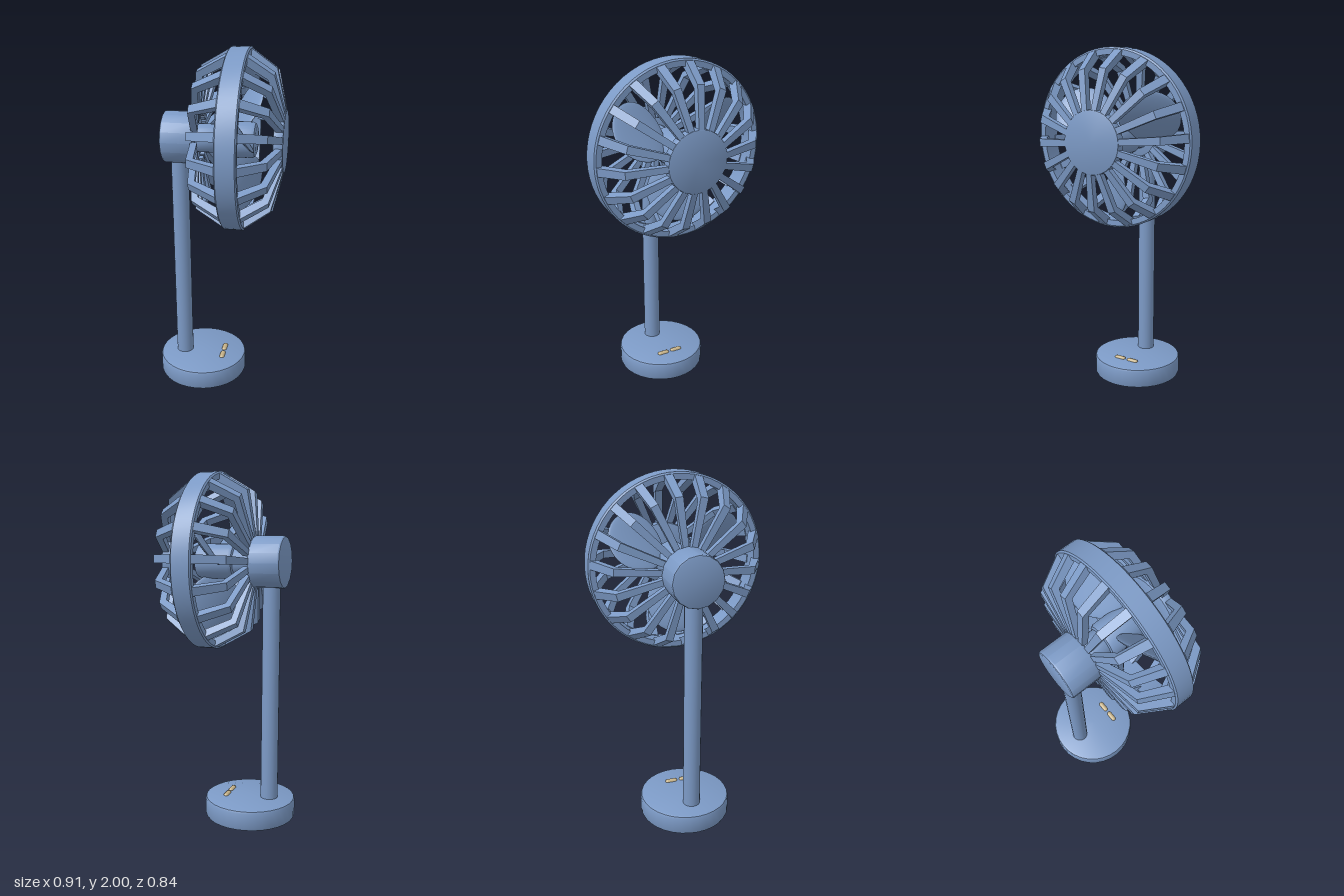
import * as THREE from 'three';
import { toCreasedNormals } from 'three/addons/utils/BufferGeometryUtils.js';

const YAW = 0.555;      // whole fan is turned about the vertical
const HEAD_Y = 1.499;
const SPOKES = 18;

const blue = new THREE.MeshStandardMaterial({ color: 0x7c9ac6 });
const beige = new THREE.MeshStandardMaterial({ color: 0xc8b48a });

function add(parent, name, geometry, material = blue) {
  const mesh = new THREE.Mesh(geometry, material);
  mesh.name = name;
  parent.add(mesh);
  return mesh;
}

// Turned part around y; profile is [radius, height] from bottom to top
function turned(profile, segments) {
  const points = profile.map(([r, h]) => new THREE.Vector2(r, h));
  return toCreasedNormals(new THREE.LatheGeometry(points, segments), 0.5);
}

// Closed disc with bevelled rims
function disc(radius, low, high, bevel, segments) {
  return turned([
    [0, low], [radius - bevel, low], [radius - bevel * 0.3, low + bevel * 0.3], [radius, low + bevel],
    [radius, high - bevel], [radius - bevel * 0.3, high - bevel * 0.3], [radius - bevel, high], [0, high],
  ], segments);
}

// Bent cage bar: side outline in (radius, depth), extruded across and tapered inward
function barGeometry(innerRadius, bendRadius, bendDepth) {
  const shape = new THREE.Shape([
    [0.49, 0.03], [0.49, 0.06], [bendRadius, bendDepth], [innerRadius, 0.253],
    [innerRadius, 0.215], [bendRadius - 0.025, bendDepth - 0.034], [0.455, 0.03],
  ].map(([x, y]) => new THREE.Vector2(x, y)));
  const width = 0.046;
  const geometry = new THREE.ExtrudeGeometry(shape, { depth: width, bevelEnabled: false });
  geometry.translate(0, 0, -width / 2);
  const p = geometry.attributes.position;
  for (let i = 0; i < p.count; i++) p.setZ(i, p.getZ(i) * (0.6 + 0.9 * p.getX(i)));
  geometry.computeVertexNormals();
  return geometry;
}

// Broad rounded paddle, pitched more steeply near the hub
function bladeGeometry() {
  const geometry = new THREE.SphereGeometry(1, 32, 20);
  const p = geometry.attributes.position;
  for (let i = 0; i < p.count; i++) {
    const r = 0.25 + 0.175 * p.getX(i);
    const across = 0.17 * p.getY(i);
    const thick = 0.02 * p.getZ(i);
    const pitch = 0.9 - 0.8 * r;
    p.setXYZ(i, r,
      across * Math.cos(pitch) - thick * Math.sin(pitch),
      across * Math.sin(pitch) + thick * Math.cos(pitch));
  }
  geometry.computeVertexNormals();
  return geometry;
}

export function createModel() {
  const model = new THREE.Group();
  model.name = 'deskFan';
  model.position.set(0.004, 0, 0.043);
  model.rotation.y = YAW;

  // Stand
  add(model, 'base', disc(0.264, 0, 0.12, 0.016, 32)).position.set(0.008, 0, -0.229);
  const pole = add(model, 'pole', new THREE.CylinderGeometry(0.05, 0.05, 1.32, 20));
  pole.position.set(0.003, 0.76, -0.345);

  // Two pill-shaped buttons on the base
  for (const side of [-1, 1]) {
    const button = add(model, side < 0 ? 'rightButton' : 'leftButton',
      new THREE.CapsuleGeometry(0.015, 0.044, 6, 14), beige);
    button.rotation.z = Math.PI / 2;
    button.scale.x = 0.8;
    button.position.set(0.006 + side * 0.044, 0.12, -0.1);
  }

  // Head, with its axis along z
  const head = new THREE.Group();
  head.name = 'head';
  head.position.y = HEAD_Y;
  model.add(head);

  const along = (name, geometry) => add(head, name, geometry.rotateX(Math.PI / 2));
  along('motorHousing', disc(0.146, -0.426, -0.24, 0.012, 16)).position.x = 0.003;
  along('frontCap', disc(0.176, 0.2, 0.255, 0.008, 32));
  along('motorShaft', disc(0.08, -0.25, -0.12, 0.005, 24));
  along('hub', disc(0.1, -0.135, 0.095, 0.025, 28));

  // Outer ring with slightly bevelled edges
  along('guardRing', turned([
    [0.46, -0.057], [0.492, -0.057], [0.501, -0.05], [0.501, 0.05],
    [0.492, 0.057], [0.46, 0.057], [0.46, -0.057],
  ], 64));

  // Front and rear guard bars
  const guards = [
    ['frontGuardBar', barGeometry(0.165, 0.393, 0.197).rotateX(Math.PI / 2)],
    ['rearGuardBar', barGeometry(0.125, 0.4, 0.216).rotateX(-Math.PI / 2)],
  ];
  for (const [name, geometry] of guards) {
    for (let i = 0; i < SPOKES; i++) {
      add(head, name, geometry).rotation.z = 0.07 + (i / SPOKES) * Math.PI * 2;
    }
  }

  // Three blades
  const blade = bladeGeometry();
  for (let i = 0; i < 3; i++) {
    add(head, 'blade', blade).rotation.z = Math.PI / 6 + (i / 3) * Math.PI * 2;
  }

  const root = new THREE.Group();
  root.name = 'fan';
  root.add(model);
  return root;
}
